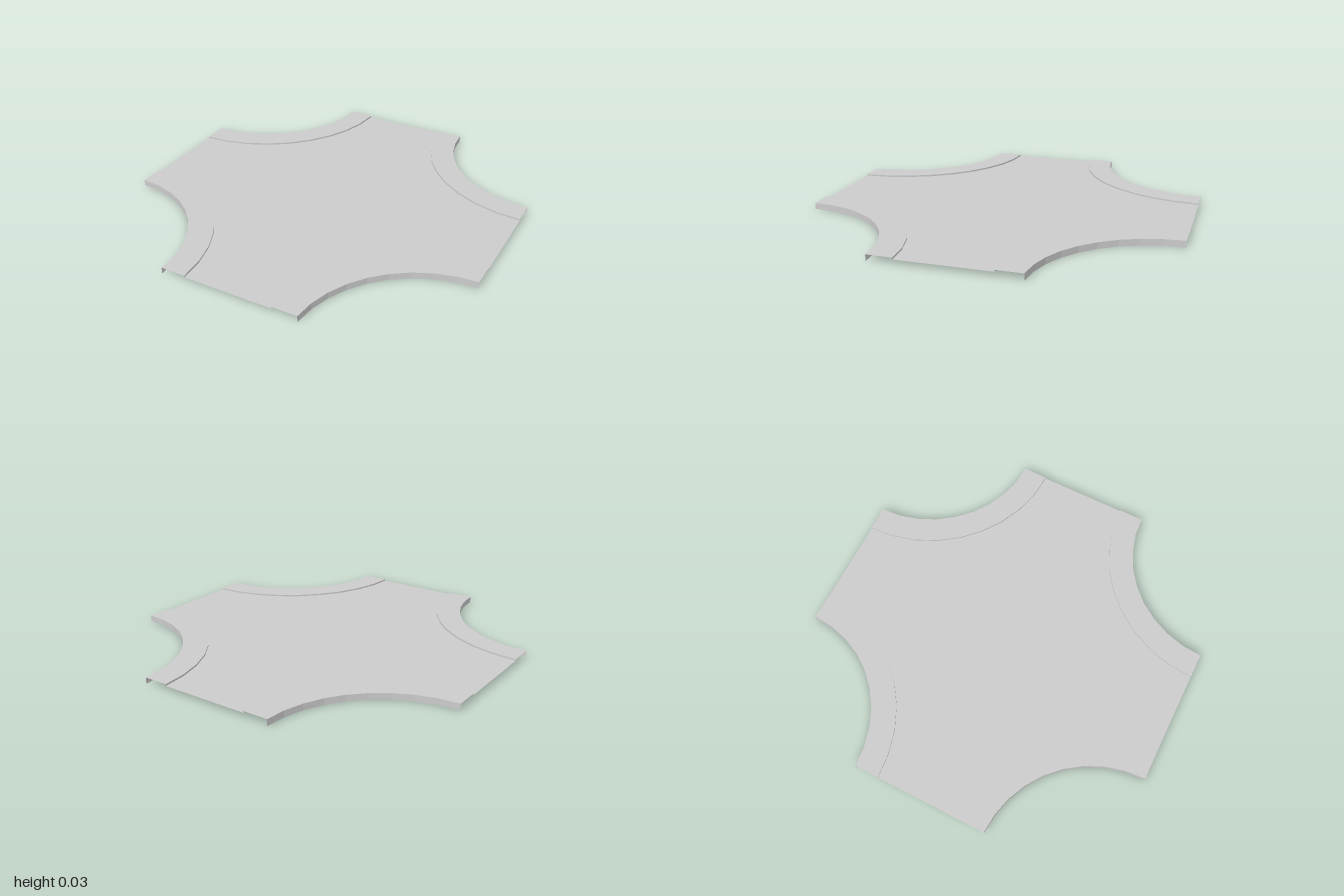
import * as THREE from 'three';

const SEG = 9;            // facets per quarter arc
const R_CURB = 0.757;     // road-side radius of the pavement
const R_OUTER = 0.622;    // corner-side radius of the pavement
const TOP = 0.034;        // pavement height
const ROAD = 0.025;       // road height

const material = new THREE.MeshStandardMaterial({
  color: 0xcccccc, flatShading: true, side: THREE.DoubleSide,
});

function part(name, geometry, y) {
  const mesh = new THREE.Mesh(geometry, material);
  mesh.name = name;
  mesh.position.y = y;
  return mesh;
}

// Vertical quarter-round wall between two heights
function wall(name, radius, bottom, top) {
  const geo = new THREE.CylinderGeometry(radius, radius, top - bottom, SEG, 1, true, Math.PI, Math.PI / 2);
  return part(name, geo, (bottom + top) / 2);
}

// Cross-shaped road sheet with four concave corners
function roadSurface() {
  const points = [];
  for (let k = 0; k < 4; k++) {
    const a = Math.PI / 4 + k * Math.PI / 2;
    const cx = Math.SQRT2 * Math.cos(a);
    const cy = Math.SQRT2 * Math.sin(a);
    for (let i = 0; i <= SEG; i++) {
      const t = (k - 1 - i / SEG) * Math.PI / 2;
      points.push(new THREE.Vector2(cx + R_CURB * Math.cos(t), cy + R_CURB * Math.sin(t)));
    }
  }
  const geo = new THREE.ShapeGeometry(new THREE.Shape(points)).rotateX(-Math.PI / 2);
  return part('roadSurface', geo, ROAD);
}

// Curved pavement strip with a low curb and an outer skirt
function pavementCorner() {
  const corner = new THREE.Group();
  const strip = new THREE.RingGeometry(R_OUTER, R_CURB, SEG, 1, Math.PI / 2, Math.PI / 2).rotateX(-Math.PI / 2);
  corner.add(
    part('pavement', strip, TOP),
    wall('curb', R_CURB, ROAD, TOP),
    wall('outerSkirt', R_OUTER, 0, TOP),
  );
  corner.position.set(1, 0, 1);
  return corner;
}

export function createModel() {
  const model = new THREE.Group();
  model.name = 'roadCrossing';
  model.add(roadSurface());
  for (let k = 0; k < 4; k++) {
    const pivot = new THREE.Group();
    pivot.name = 'pavementCorner' + (k + 1);
    pivot.rotation.y = k * Math.PI / 2;
    pivot.add(pavementCorner());
    model.add(pivot);
  }
  return model;
}
